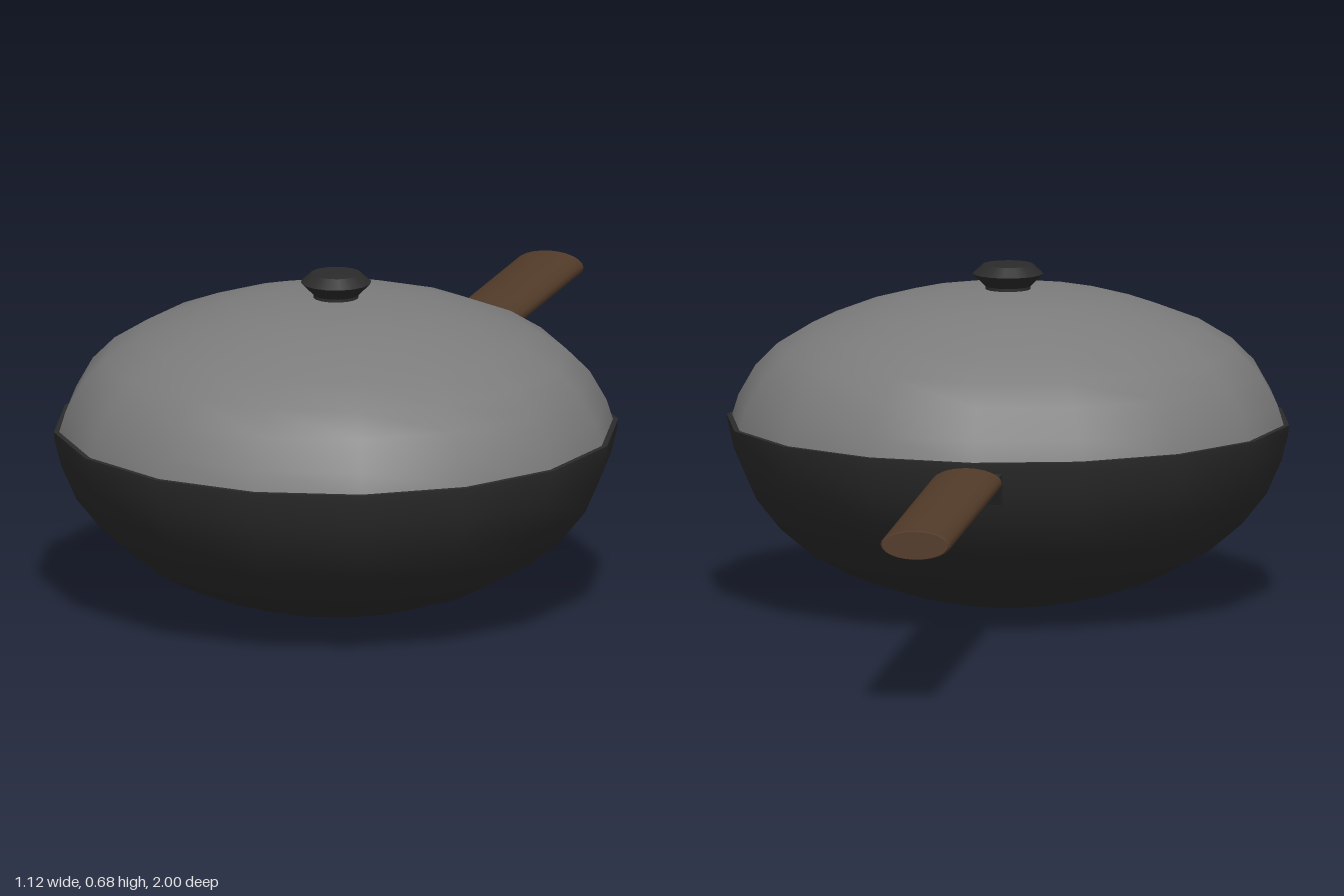
import * as THREE from 'three';

const SIDES = 16;
const PAN_Z = 0.44;

const material = (color) => new THREE.MeshStandardMaterial({ color, side: THREE.DoubleSide });
const iron = material(0x2b2b2b);
const steel = material(0x7c7c7c);
const wood = material(0x523b29);

// Turned part around the pan's vertical axis, profile as [radius, height]
function turned(name, profile, mat) {
  const points = profile.map(([r, y]) => new THREE.Vector2(r, y));
  const mesh = new THREE.Mesh(new THREE.LatheGeometry(points, SIDES), mat);
  mesh.name = name;
  mesh.position.z = PAN_Z;
  return mesh;
}

export function createModel() {
  const group = new THREE.Group();
  group.name = 'coveredPan';

  // Round-bottomed bowl: outer wall, lip and inner wall
  const wall = [
    [0, 0.005], [0.13, 0.014], [0.21, 0.032], [0.31, 0.066], [0.4, 0.115],
    [0.465, 0.17], [0.515, 0.232], [0.545, 0.3], [0.558, 0.352], [0.56, 0.37],
  ];
  const inner = wall.map(([r, y]) => [r * 0.98, y === 0.37 ? y : y + 0.01]).reverse();
  group.add(turned('bowl', wall, iron));
  group.add(turned('bowlLip', [[0.56, 0.37], [0.549, 0.37]], iron));
  group.add(turned('bowlInside', inner, iron));

  // Domed lid resting just inside the lip
  group.add(turned('lid', [
    [0.55, 0.368], [0.537, 0.41], [0.503, 0.47], [0.458, 0.515], [0.39, 0.557],
    [0.3, 0.592], [0.21, 0.617], [0.12, 0.629], [0, 0.634],
  ], steel));

  // Knob: short neck, flared rim, flat top
  group.add(turned('knobNeck', [[0.045, 0.62], [0.045, 0.64]], iron));
  group.add(turned('knobFlare', [[0.045, 0.638], [0.07, 0.663]], iron));
  group.add(turned('knobShoulder', [[0.07, 0.663], [0.05, 0.681]], iron));
  group.add(turned('knobTop', [[0.05, 0.681], [0, 0.682]], iron));

  // Strap from the bowl wall to the handle, side profile as [z, y]
  const strapShape = new THREE.Shape([
    [-0.25, 0.34], [-0.25, 0.348], [-0.1, 0.348], [-0.085, 0.285],
    [-0.1, 0.285], [-0.133, 0.34],
  ].map(([z, y]) => new THREE.Vector2(-z, y)));
  const strapGeometry = new THREE.ExtrudeGeometry(strapShape, { depth: 0.116, bevelEnabled: false });
  strapGeometry.translate(0, 0, -0.058).rotateY(Math.PI / 2);
  const strap = new THREE.Mesh(strapGeometry, iron);
  strap.name = 'handleStrap';
  group.add(strap);

  // Flattened wooden grip with slightly eased ends
  const grip = new THREE.Group();
  grip.name = 'handle';
  const sections = [
    [0, -0.405, 0.94, -0.405], [0.94, -0.405, 1, -0.397],
    [1, -0.397, 1, 0.397], [1, 0.397, 0.94, 0.405], [0.94, 0.405, 0, 0.405],
  ];
  for (const [r0, y0, r1, y1] of sections) {
    const points = [new THREE.Vector2(r0 * 0.07, y0), new THREE.Vector2(r1 * 0.07, y1)];
    const piece = new THREE.Mesh(new THREE.LatheGeometry(points, 24), wood);
    piece.name = 'handleGrip';
    grip.add(piece);
  }
  grip.rotation.x = Math.PI / 2;
  grip.scale.z = 0.42;
  grip.position.set(0, 0.344, -0.595);
  group.add(grip);

  return group;
}
